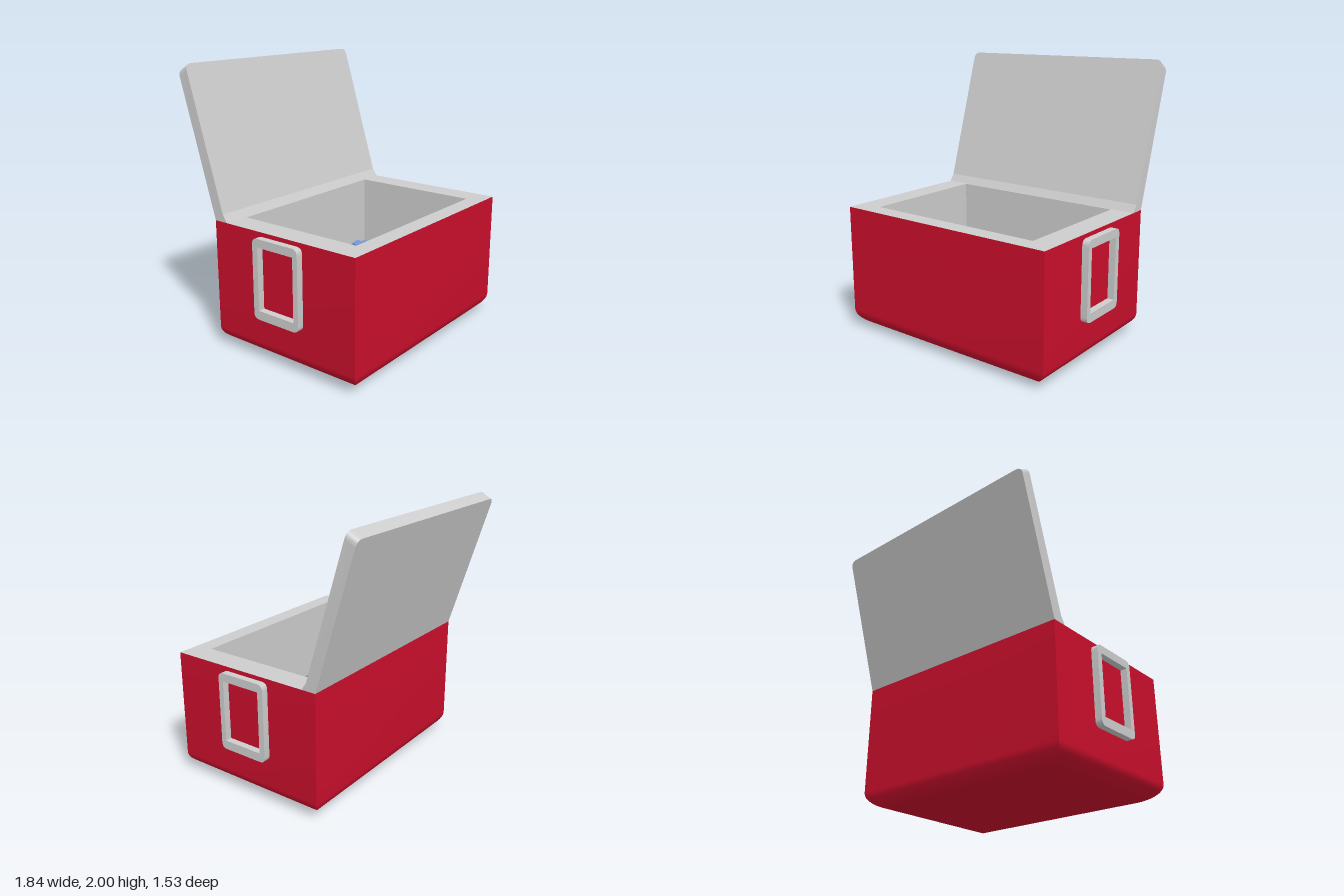
import * as THREE from 'three';
import { mergeGeometries, toCreasedNormals } from 'three/addons/utils/BufferGeometryUtils.js';

const W = 0.87, TOP = 0.94, BACK = -0.455, FRONT = 0.765;
const CZ = (BACK + FRONT) / 2, D = (FRONT - BACK) / 2;
const IN_X = 0.69, IN_BACK = -0.335, IN_FRONT = 0.635, ICE_Y = 0.3;

const red = new THREE.MeshStandardMaterial({ color: 0xca0f2c, name: 'red shell' });
const grey = new THREE.MeshStandardMaterial({ color: 0xcccccc, name: 'light grey' });
const blue = new THREE.MeshStandardMaterial({ color: 0x6f90ca, name: 'ice blue' });

function part(name, geometry, material) {
  const mesh = new THREE.Mesh(geometry, material);
  mesh.name = name;
  return mesh;
}

function rectangle(target, x0, y0, x1, y1) {
  target.moveTo(x0, y0).lineTo(x1, y0).lineTo(x1, y1).lineTo(x0, y1).closePath();
  return target;
}

// Rectangular loops shrinking along an elliptical curve towards the base
function shellGeometry() {
  const steps = 14, pos = [], index = [];
  const corners = [[1, 1], [1, -1], [-1, -1], [-1, 1]];
  const levels = [];
  for (let i = 0; i <= steps; i++) {
    const a = (1 - i / steps) * Math.PI / 2;
    levels.push([0.68 + 0.32 * Math.cos(a), 0.14 * (1 - Math.sin(a))]);
  }
  levels.push([1, TOP]);
  for (const [k, y] of levels) {
    for (const [x, z] of corners) pos.push(x * W * k, y, CZ + z * D * k);
  }
  for (let i = 0; i < levels.length - 1; i++) {
    for (let j = 0; j < 4; j++) {
      const a = i * 4 + j, b = i * 4 + (j + 1) % 4;
      index.push(a, b, b + 4, a, b + 4, a + 4);
    }
  }
  index.push(0, 2, 1, 0, 3, 2);
  const g = new THREE.BufferGeometry();
  g.setAttribute('position', new THREE.Float32BufferAttribute(pos, 3));
  g.setIndex(index);
  return toCreasedNormals(g, 0.7);
}

// Flat rim around the opening
function rimGeometry() {
  const s = rectangle(new THREE.Shape(), -W, -FRONT, W, -BACK);
  s.holes.push(rectangle(new THREE.Path(), -IN_X, -IN_FRONT, IN_X, -IN_BACK));
  return new THREE.ShapeGeometry(s).rotateX(-Math.PI / 2).translate(0, TOP, 0);
}

// Inward-facing walls of the compartment
function linerGeometry() {
  const h = TOP - 0.1;
  const g = new THREE.BoxGeometry(IN_X * 2, h, IN_FRONT - IN_BACK);
  g.translate(0, 0.1 + h / 2, (IN_FRONT + IN_BACK) / 2);
  const ix = Array.from(g.index.array);
  ix.splice(12, 6); // open top
  g.setIndex(ix.reverse());
  return toCreasedNormals(g, 0.5);
}

// Open lid: a rounded panel leaned back between its inner and outer lines
function lidGeometry() {
  const rx = 0.055, ry = 0.045;
  const s = new THREE.Shape();
  s.moveTo(-W, 0).lineTo(W, 0).lineTo(W, 1 - ry);
  s.quadraticCurveTo(W, 1, W - rx, 1);
  s.lineTo(rx - W, 1).quadraticCurveTo(-W, 1, -W, 1 - ry).closePath();
  const g = new THREE.ExtrudeGeometry(s, { depth: 1, bevelEnabled: false, curveSegments: 8 });
  const p = g.attributes.position, mix = THREE.MathUtils.lerp;
  for (let i = 0; i < p.count; i++) {
    const v = p.getY(i), t = p.getZ(i);
    p.setY(i, mix(TOP, mix(1.955, 2, t), v));
    p.setZ(i, mix(mix(BACK, -0.365, t), mix(-0.765, -0.69, t), v));
  }
  return toCreasedNormals(g, 0.6);
}

// Sloped hinge strip where the lid meets the rim
function hingeGeometry() {
  const s = new THREE.Shape();
  s.moveTo(-0.345, TOP).lineTo(-0.382, 0.995).lineTo(-0.42, TOP).closePath();
  return new THREE.ExtrudeGeometry(s, { depth: W * 2, bevelEnabled: false })
    .rotateY(-Math.PI / 2).translate(W, 0, 0);
}

// Rounded rectangular handle frame
function handleGeometry() {
  const a = -0.055, b = 0.34, c = 0.335, d = 0.91, r = 0.045;
  const s = new THREE.Shape();
  s.moveTo(a + r, c).lineTo(b - r, c).quadraticCurveTo(b, c, b, c + r);
  s.lineTo(b, d - r).quadraticCurveTo(b, d, b - r, d);
  s.lineTo(a + r, d).quadraticCurveTo(a, d, a, d - r);
  s.lineTo(a, c + r).quadraticCurveTo(a, c, a + r, c);
  s.holes.push(rectangle(new THREE.Path(), -0.01, 0.4, 0.3, 0.85));
  const g = new THREE.ExtrudeGeometry(s, { depth: 0.05, bevelEnabled: false, curveSegments: 6 });
  return toCreasedNormals(g.rotateY(-Math.PI / 2), 0.6);
}

// Loose bed of ice cubes with a heap on the back right
function iceGeometry() {
  let seed = 7;
  const rand = () => (seed = (seed * 16807) % 2147483647) / 2147483647;
  const jitter = (n) => (rand() - 0.5) * n;
  const cubes = [];
  const add = (x, y, z, rx, ry, rz) => {
    const g = new THREE.BoxGeometry(0.075, 0.075, 0.075);
    g.rotateX(rx).rotateZ(rz).rotateY(ry).translate(x, y, z);
    cubes.push(g);
  };
  for (let i = 0; i < 17; i++) {
    for (let j = 0; j < 12; j++) {
      add(-0.63 + i * 0.079 + jitter(0.04), ICE_Y + 0.02 + jitter(0.05), -0.275 + j * 0.077 + jitter(0.04),
        0.4 + jitter(0.7), 0.55 + jitter(0.7), jitter(0.8));
    }
  }
  for (let i = 0; i < 8; i++) {
    for (let j = 0; j < 7; j++) {
      const y = ICE_Y + 0.09 + (i < 5 ? 0.03 : 0) + jitter(0.04);
      add(-0.08 + i * 0.098 + jitter(0.02), y, -0.27 + j * 0.09 + jitter(0.02),
        0.25 + jitter(0.3), -0.1 + jitter(0.3), 0.15 + jitter(0.2));
    }
  }
  add(-0.07, 0.43, -0.19, 0.5, 0.6, 0.4);
  return mergeGeometries(cubes);
}

export function createModel() {
  const model = new THREE.Group();
  model.name = 'coolerBox';
  model.add(
    part('shell', shellGeometry(), red),
    part('rim', rimGeometry(), grey),
    part('liner', linerGeometry(), grey),
    part('lid', lidGeometry(), grey),
    part('hingeStrip', hingeGeometry(), grey),
  );

  // Handles, one on each side
  const left = part('leftHandle', handleGeometry(), grey);
  left.position.x = W + 0.05;
  const right = part('rightHandle', handleGeometry(), grey);
  right.position.x = -W;
  model.add(left, right);

  // Ice surface and cubes
  const bed = new THREE.PlaneGeometry(IN_X * 2, IN_FRONT - IN_BACK).rotateX(-Math.PI / 2);
  bed.translate(0, ICE_Y, (IN_FRONT + IN_BACK) / 2);
  model.add(part('iceBed', bed, blue), part('iceCubes', iceGeometry(), blue));
  return model;
}
